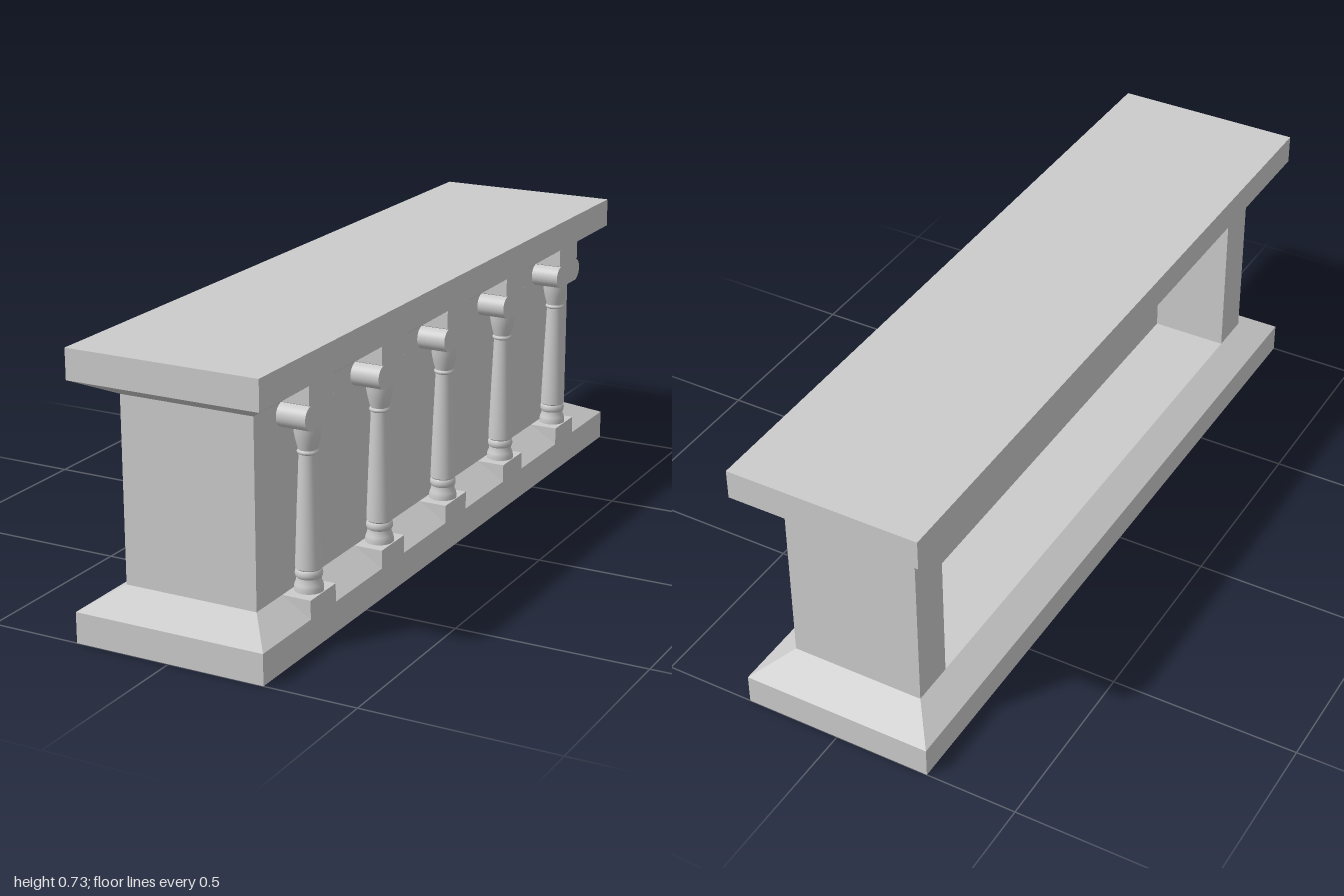
import * as THREE from 'three';
import { mergeGeometries } from 'three/addons/utils/BufferGeometryUtils.js';

const HALF_X = 0.257, WALL_X = 0.18, WALL_Z = 0.897;
const SLAB_TOP = 0.08, FLOOR = 0.128, CEILING = 0.605, CAP = 0.655, HEIGHT = 0.733;

export function createModel() {
  const group = new THREE.Group();
  const material = new THREE.MeshStandardMaterial({ color: 0xcccccc });
  const add = (name, geometry, parent = group) => {
    const mesh = new THREE.Mesh(geometry, material);
    mesh.name = name;
    parent.add(mesh);
    return mesh;
  };

  // Box between two heights, optionally tapering to the wall outline at one end
  const slab = (y0, y1, taper = 0) => {
    const geo = new THREE.BoxGeometry(2 * HALF_X, y1 - y0, 2);
    const p = geo.attributes.position;
    for (let i = 0; i < p.count; i++) {
      if (p.getY(i) * taper > 0) {
        p.setX(i, Math.sign(p.getX(i)) * WALL_X);
        p.setZ(i, Math.sign(p.getZ(i)) * WALL_Z);
      }
    }
    geo.translate(0, (y0 + y1) / 2, 0);
    geo.computeVertexNormals();
    return geo;
  };
  add('baseSlab', slab(0, SLAB_TOP));
  add('baseMoulding', slab(SLAB_TOP, FLOOR, 1));
  add('topMoulding', slab(CEILING, CAP, -1));
  add('topSlab', slab(CAP, HEIGHT));

  // Wall with end piers wrapped around a deep recess on one side
  const plan = new THREE.Shape([
    [-WALL_X, -WALL_Z], [WALL_X, -WALL_Z], [WALL_X, WALL_Z], [-WALL_X, WALL_Z],
    [-WALL_X, 0.78], [0.03, 0.78], [0.03, -0.78], [-WALL_X, -0.78],
  ].map(([x, z]) => new THREE.Vector2(x, z)));
  const wall = new THREE.ExtrudeGeometry(plan, { depth: CEILING - FLOOR, bevelEnabled: false });
  add('wallAndPiers', wall.rotateX(-Math.PI / 2).translate(0, FLOOR, 0));

  // Scrolled bracket outline: a straight neck above a rounded bar
  const bottom = 0.544, r = (CEILING - bottom) / 2, midY = bottom + r;
  const outline = new THREE.Shape();
  outline.moveTo(-0.061, CAP);
  outline.lineTo(-0.061, CEILING + 0.003);
  outline.quadraticCurveTo(-0.061, CEILING, -0.049, CEILING);
  outline.absarc(-0.049, midY, r, Math.PI / 2, Math.PI * 1.5, false);
  outline.lineTo(0.049, bottom);
  outline.absarc(0.049, midY, r, -Math.PI / 2, Math.PI / 2, false);
  outline.quadraticCurveTo(0.061, CEILING, 0.061, CEILING + 0.003);
  outline.lineTo(0.061, CAP);
  const bracket = new THREE.ExtrudeGeometry(outline, {
    depth: HALF_X - WALL_X, bevelEnabled: false, curveSegments: 16,
  }).rotateY(Math.PI / 2).translate(WALL_X, 0, 0);

  // Turned baluster: each profile piece is smooth, with sharp joints between
  const pieces = [
    [[0.036, FLOOR], [0.036, 0.138], [0.034, 0.146], [0.031, 0.153], [0.03, 0.162]],
    [[0.03, 0.162], [0.033, 0.166], [0.034, 0.172], [0.033, 0.179], [0.03, 0.183]],
    [[0.03, 0.183], [0.033, 0.186]],
    [[0.033, 0.186], [0.032, 0.22], [0.0275, 0.34], [0.022, 0.47]],
    [[0.022, 0.47], [0.026, 0.473], [0.026, 0.477], [0.023, 0.481]],
    [[0.023, 0.481], [0.027, 0.495], [0.031, 0.512], [0.0335, 0.528], [0.0345, 0.546]],
  ];
  const baluster = mergeGeometries(pieces.map((points) =>
    new THREE.LatheGeometry(points.map(([x, y]) => new THREE.Vector2(x, y)), 32)));
  const centreX = (WALL_X + HALF_X) / 2;
  baluster.translate(centreX, 0, 0);

  const plinth = new THREE.BoxGeometry(HALF_X - WALL_X, FLOOR - SLAB_TOP, 0.122)
    .translate(centreX, (FLOOR + SLAB_TOP) / 2, 0);

  // Row of five balusters, each with its plinth and bracket
  for (let i = -2; i <= 2; i++) {
    const bay = new THREE.Group();
    bay.name = 'balusterBay' + (i + 3);
    bay.position.z = i * 0.359;
    add('plinth', plinth, bay);
    add('baluster', baluster, bay);
    add('bracket', bracket, bay);
    group.add(bay);
  }
  return group;
}
